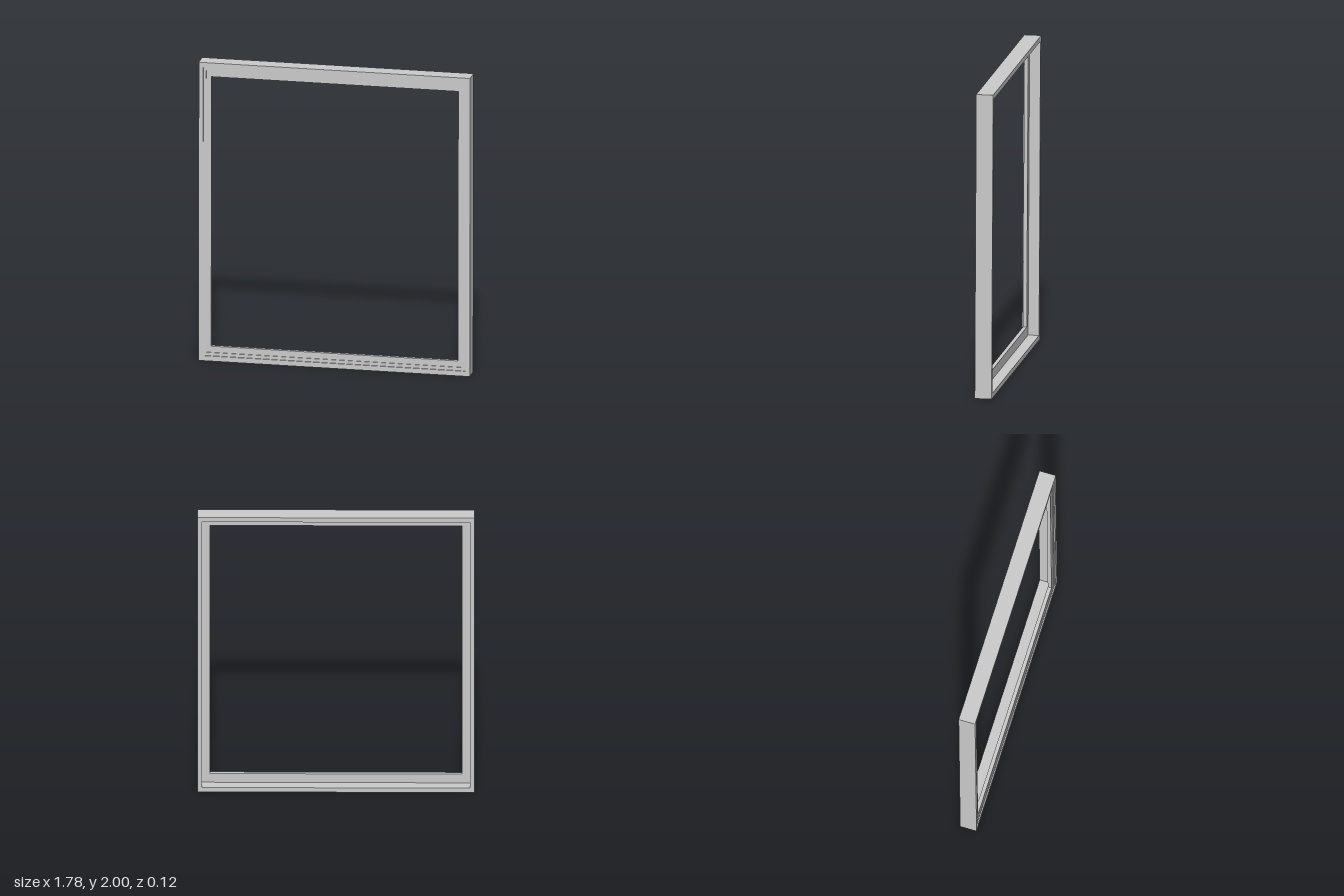
import * as THREE from 'three';

const HALF_W = 0.888, HEIGHT = 2;
const RAIL_SCALE = 1.2; // head and sill are a little deeper than the jambs

// Cross-section as [inset from outer edge, z]: thin outer rim, stepped rebate in front, deep one behind
const profile = [
  [0, -0.055], [0.027, -0.055], [0.027, 0.016], [0.08, 0.016], [0.08, 0.041],
  [0.046, 0.041], [0.046, 0.047], [0.028, 0.047], [0.028, 0.055], [0, 0.055],
];

// Mitred corner point: corners run anticlockwise from bottom left
function corner(i, [inset, z]) {
  const sx = (i === 0 || i === 3) ? -1 : 1;
  const y = inset * RAIL_SCALE;
  return [sx * (HALF_W - inset), i < 2 ? y : HEIGHT - y, z];
}

// One bar swept from mitre to mitre
function bar(i, name, material) {
  const next = (i + 1) % 4;
  const positions = [];
  profile.forEach((p, j) => {
    const q = profile[(j + 1) % profile.length];
    const a0 = corner(i, p), b0 = corner(i, q);
    const a1 = corner(next, p), b1 = corner(next, q);
    positions.push(...a0, ...b0, ...b1, ...a0, ...b1, ...a1);
  });
  const geometry = new THREE.BufferGeometry();
  geometry.setAttribute('position', new THREE.Float32BufferAttribute(positions, 3));
  geometry.computeVertexNormals();
  const mesh = new THREE.Mesh(geometry, material);
  mesh.name = name;
  return mesh;
}

export function createModel() {
  const model = new THREE.Group();
  model.name = 'windowFrame';
  const material = new THREE.MeshStandardMaterial({ color: 0xcccccc, flatShading: true });

  const frame = new THREE.Group();
  frame.name = 'frame';
  ['sill', 'leftJamb', 'head', 'rightJamb'].forEach((name, i) => frame.add(bar(i, name, material)));

  // Slight backward lean about mid height
  const lean = -0.005;
  frame.rotation.x = lean;
  frame.position.set(0, 1 - Math.cos(lean), -Math.sin(lean));
  model.add(frame);
  return model;
}
